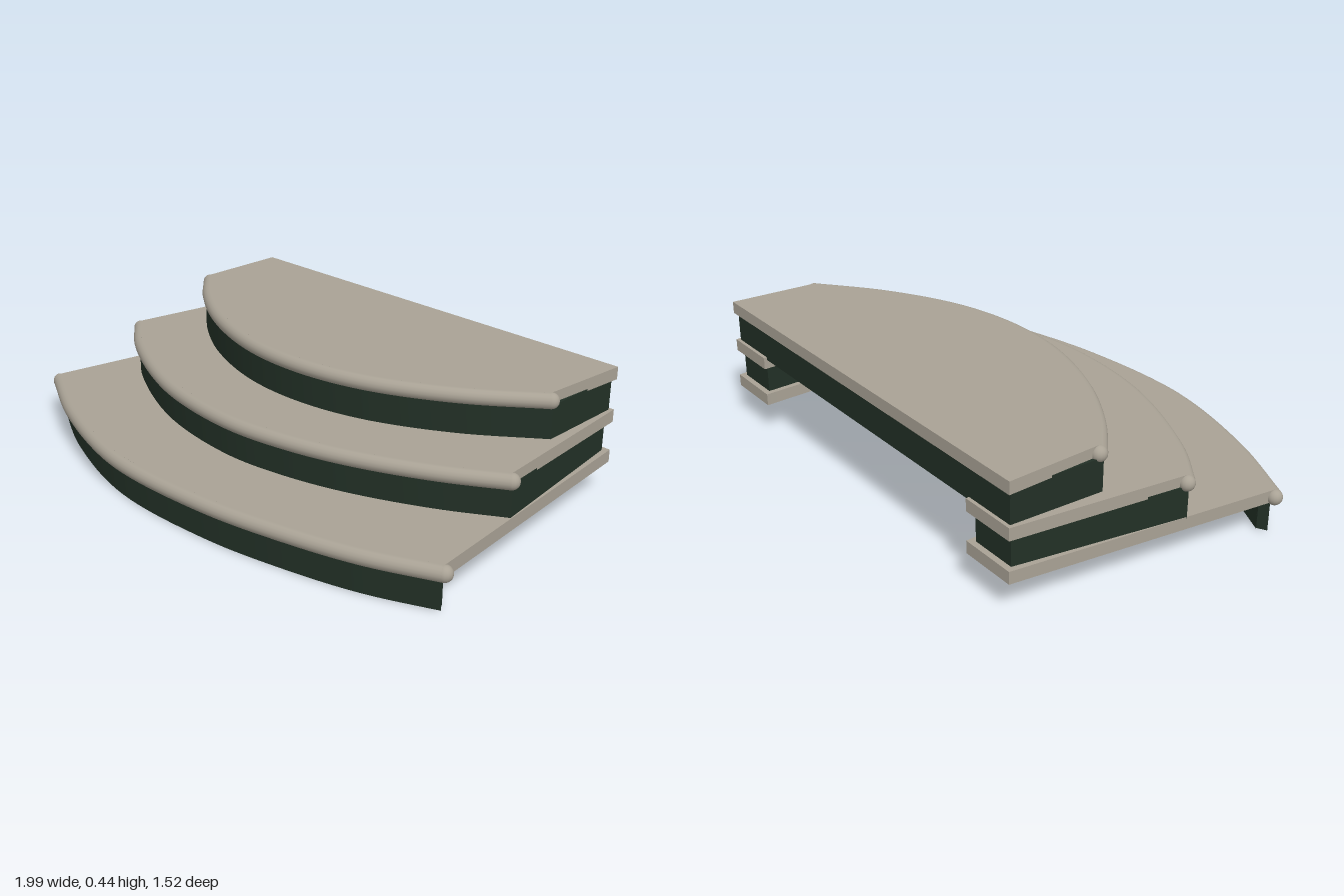
import * as THREE from 'three';
import { toCreasedNormals } from 'three/addons/utils/BufferGeometryUtils.js';

const V = (p) => new THREE.Vector2(p[0], p[1]);
const SAMPLES = 48;

// Shared rear corners and the recess under the steps, as [x, z]
const backRight = [1, -0.21], backLeft = [-0.53, -0.765];
const recess = [[0.8, -0.283], [0.725, -0.03], [0.68, 0.03], [0.62, 0.06], [0.53, 0.06], [0.4, 0.015],
  [-0.3, -0.28], [-0.36, -0.325], [-0.405, -0.39], [-0.415, -0.46], [-0.34, -0.696]].map(V);

// Each step: front edge from right to left of the plan, and its heights
const steps = [
  { name: 'lower', top: 0.15, inset: 0.035,
    front: [[-1, 0.07], [-0.75, 0.315], [-0.4, 0.555], [0, 0.69], [0.3, 0.74], [0.56, 0.757], [0.82, 0.737]] },
  { name: 'middle', top: 0.29, inset: 0.02,
    front: [[-0.835, -0.23], [-0.7, -0.04], [-0.4, 0.235], [-0.08, 0.4], [0.15, 0.453], [0.38, 0.468], [0.65, 0.445], [0.885, 0.395]] },
  { name: 'upper', top: 0.435, inset: 0.012,
    front: [[-0.657, -0.45], [-0.55, -0.27], [-0.38, -0.07], [-0.15, 0.105], [0.08, 0.2], [0.33, 0.235], [0.62, 0.2], [0.9, 0.11]] },
];

// Smooth samples along a front edge
function sampleFront(points) {
  const curve = new THREE.CatmullRomCurve3(points.map(([x, z]) => new THREE.Vector3(x, 0, z)));
  return curve.getPoints(SAMPLES).map((p) => new THREE.Vector2(p.x, p.z));
}

// Mitred inward offset of a closed plan outline
function offset(points, d) {
  const n = points.length;
  return points.map((p, i) => {
    const a = p.clone().sub(points[(i + n - 1) % n]).normalize();
    const b = points[(i + 1) % n].clone().sub(p).normalize();
    const na = new THREE.Vector2(a.y, -a.x), nb = new THREE.Vector2(b.y, -b.x);
    const scale = d / Math.max(0.35, 1 + na.dot(nb));
    return p.clone().addScaledVector(na.add(nb), scale);
  });
}

// Solid plate from a plan outline between two heights
function plate(outline, bottom, top, hole) {
  const shape = new THREE.Shape(outline);
  if (hole) shape.holes.push(new THREE.Path(hole));
  const geo = new THREE.ExtrudeGeometry(shape, { depth: top - bottom, bevelEnabled: false });
  geo.rotateX(Math.PI / 2).translate(0, top, 0);
  return toCreasedNormals(geo, 0.5);
}

export function createModel() {
  const group = new THREE.Group();
  const stone = new THREE.MeshStandardMaterial({ color: 0xa9a295 });
  stone.name = 'warm grey stone';
  const dark = new THREE.MeshStandardMaterial({ color: 0x223026 });
  dark.name = 'dark green';
  const add = (name, geo, mat) => {
    const mesh = new THREE.Mesh(geo, mat);
    mesh.name = name;
    group.add(mesh);
    return mesh;
  };

  const r = 0.026;
  steps.forEach((step, i) => {
    const front = sampleFront(step.front);
    const count = front.length;
    const rear = [V(backRight), ...(i < 2 ? recess : []), V(backLeft)];
    const outline = [...front, ...rear];

    // Tread slab with a rounded nosing along its front
    const nose = offset(outline, r).slice(0, count);
    add(step.name + 'Tread', plate([...nose, ...rear], step.top - 0.042, step.top, null), stone);
    const y = step.top - r;
    const path = new THREE.CatmullRomCurve3(nose.map((p) => new THREE.Vector3(p.x, y, p.y)));
    add(step.name + 'Nosing', new THREE.TubeGeometry(path, 72, r, 16), stone);
    [nose[0], nose[count - 1]].forEach((p) => {
      add(step.name + 'NosingEnd', new THREE.SphereGeometry(r, 16, 12), stone).position.set(p.x, y, p.y);
    });

    // Riser: a thin curved board, then a block around the recess, then a hollow frame
    let riser;
    if (i === 0) {
      const outer = offset(outline, step.inset).slice(0, count);
      const inner = offset(outline, step.inset + 0.03).slice(0, count).reverse();
      // Keep both ends of the board in line with the sides
      riser = plate([...outer, ...inner], 0, 0.115, null);
    } else if (i === 1) {
      riser = plate(offset(outline, step.inset), 0.145, 0.255, null);
    } else {
      riser = plate(offset(outline, step.inset), 0.28, 0.4, offset(outline, 0.09));
    }
    add(step.name + 'Riser', riser, dark);
  });
  return group;
}
